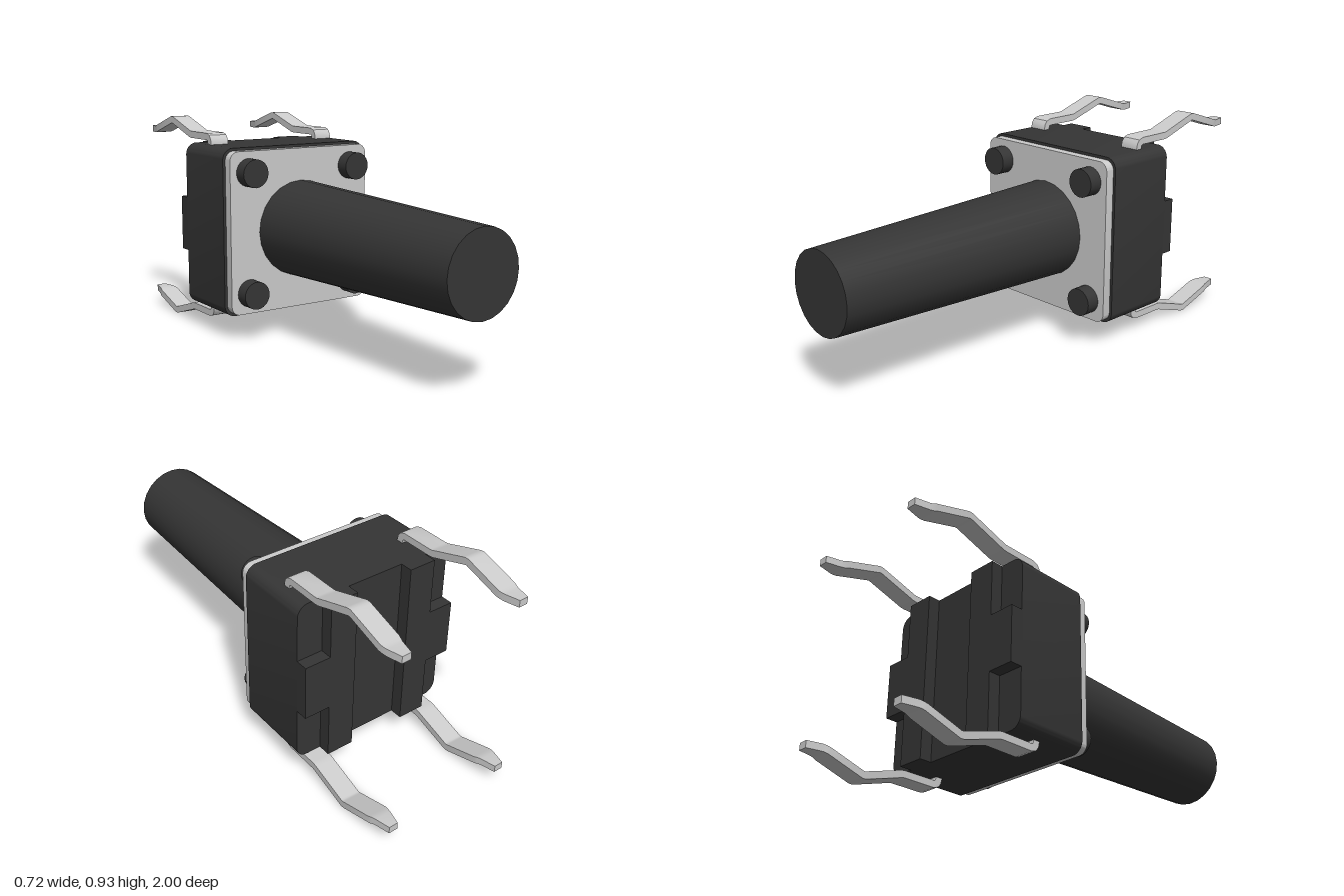
import * as THREE from 'three';
import { toCreasedNormals } from 'three/addons/utils/BufferGeometryUtils.js';

const dark = new THREE.MeshStandardMaterial({ color: 0x353535 });
const metal = new THREE.MeshStandardMaterial({ color: 0xcccccc });

// Square slab with rounded corners, from z0 (back) to z1 (front)
function roundedSlab(half, r, z0, z1) {
  const s = new THREE.Shape();
  const c = half - r;
  s.absarc(c, c, r, 0, Math.PI / 2);
  s.absarc(-c, c, r, Math.PI / 2, Math.PI);
  s.absarc(-c, -c, r, Math.PI, Math.PI * 1.5);
  s.absarc(c, -c, r, Math.PI * 1.5, Math.PI * 2);
  s.closePath();
  const g = new THREE.ExtrudeGeometry(s, { depth: z1 - z0, bevelEnabled: false, curveSegments: 6 });
  g.translate(0, 0, z0);
  return toCreasedNormals(g, 0.6);
}

// Round post along z, from z0 (radius r0) to z1 (radius r1)
function post(r0, r1, z0, z1, sides) {
  const g = new THREE.CylinderGeometry(r1, r0, z1 - z0, sides);
  g.rotateX(Math.PI / 2);
  g.translate(0, 0, (z0 + z1) / 2);
  return g;
}

// Bent strip lead: rectangular section swept along a [z, y] path, tapered tip
function pinGeometry() {
  const path = [[-0.39, 0.32], [-0.39, 0.365], [-0.393, 0.38], [-0.4, 0.39], [-0.415, 0.395],
    [-0.56, 0.395], [-0.575, 0.397], [-0.59, 0.402], [-0.735, 0.448], [-0.745, 0.451], [-0.755, 0.451],
    [-0.765, 0.448], [-0.91, 0.402], [-0.925, 0.397], [-0.94, 0.395], [-1, 0.395]];
  const t = 0.015;
  const pos = [], index = [];
  path.forEach(([z, y], i) => {
    const a = path[Math.max(i - 1, 0)], b = path[Math.min(i + 1, path.length - 1)];
    const len = Math.hypot(b[0] - a[0], b[1] - a[1]);
    const nz = t * (b[1] - a[1]) / len, ny = -t * (b[0] - a[0]) / len;
    const w = 0.042 - 0.022 * Math.max(0, (-z - 0.91) / 0.09);
    pos.push(-w, y - ny, z - nz, w, y - ny, z - nz, w, y + ny, z + nz, -w, y + ny, z + nz);
    if (i === 0) return;
    for (let j = 0; j < 4; j++) {
      const k = (j + 1) % 4, p = 4 * (i - 1), q = 4 * i;
      index.push(p + j, q + k, p + k, p + j, q + j, q + k);
    }
  });
  const e = 4 * (path.length - 1);
  index.push(0, 1, 2, 0, 2, 3, e, e + 2, e + 1, e, e + 3, e + 2);
  const g = new THREE.BufferGeometry();
  g.setAttribute('position', new THREE.Float32BufferAttribute(pos, 3));
  g.setIndex(index);
  return toCreasedNormals(g, 0.5);
}

export function createModel() {
  const group = new THREE.Group();
  const add = (name, geometry, material, x = 0, y = 0, z = 0) => {
    const mesh = new THREE.Mesh(geometry, material);
    mesh.name = name;
    mesh.position.set(x, y + 0.47, z);
    group.add(mesh);
    return mesh;
  };

  // Housing, cover plate and long tapered plunger
  add('housing', roundedSlab(0.362, 0.05, -0.52, -0.19), dark);
  add('coverPlate', roundedSlab(0.35, 0.04, -0.19, -0.15), metal);
  add('plunger', post(0.21, 0.17, -0.15, 1, 24), dark);

  const pin = pinGeometry();
  const rivet = post(0.06, 0.06, -0.15, -0.09, 24);
  for (const sx of [1, -1]) {
    // Raised pads on the back: a full-height rib and an outer block
    add('backRib', new THREE.BoxGeometry(0.12, 0.724, 0.06), dark, sx * 0.188, 0, -0.543);
    add('backBlock', new THREE.BoxGeometry(0.118, 0.24, 0.06), dark, sx * 0.303, 0, -0.543);
    for (const sy of [1, -1]) {
      add('rivet', rivet, dark, sx * 0.26, sy * 0.26);
      const lead = add('pin', pin, metal, sx * 0.2725);
      if (sy < 0) lead.rotation.z = Math.PI;
    }
  }
  return group;
}
